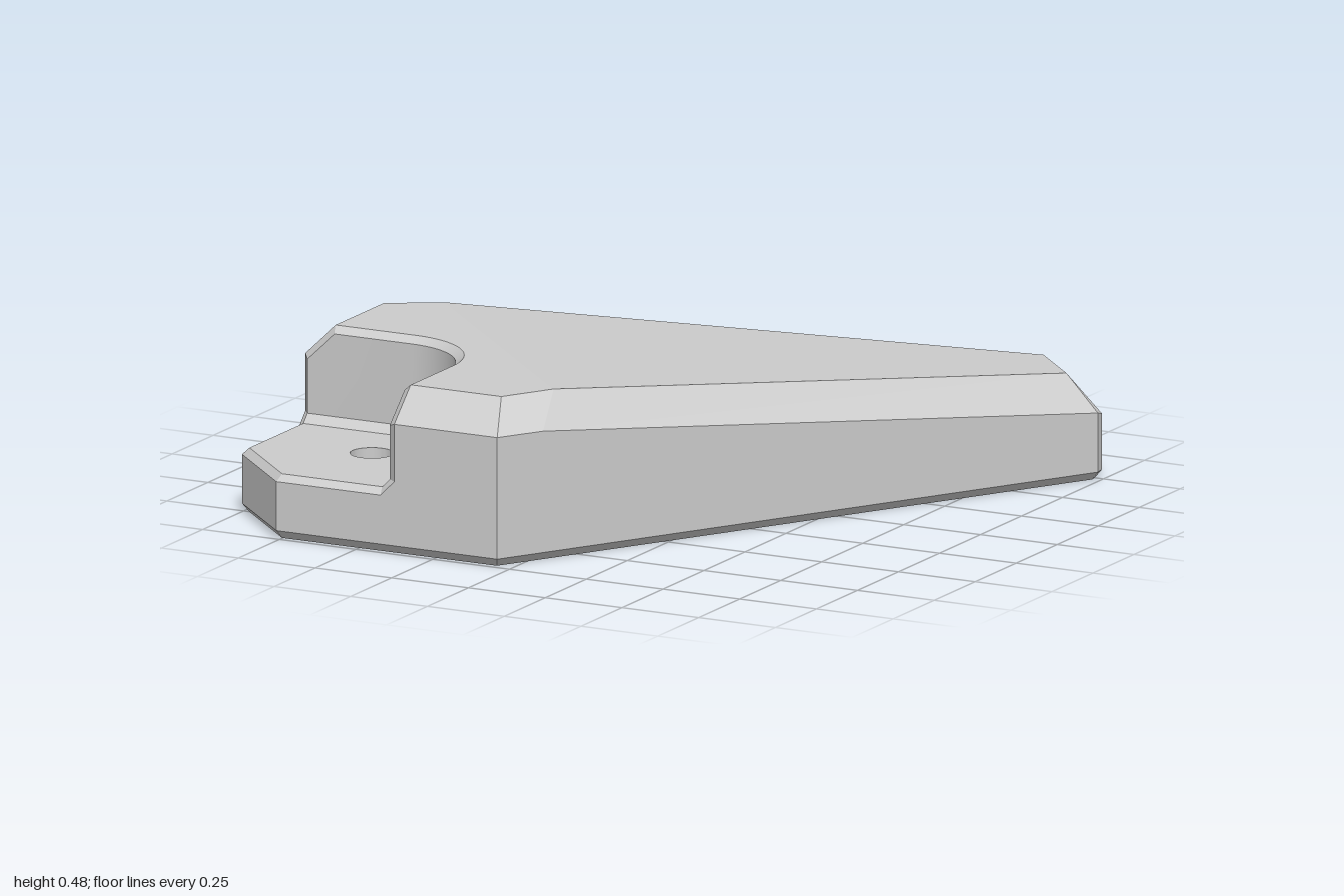
import * as THREE from 'three';
import { toCreasedNormals } from 'three/addons/utils/BufferGeometryUtils.js';

const V = (x, y, z) => new THREE.Vector3(x, y, z);
// The part is symmetric about the diagonal x = -z
const flip = p => V(-p.z, p.y, -p.x);
const at = (p, y) => V(p.x, y, p.z);

// Collects planar polygons (with holes) facing away from a centre, or towards it
class Faces {
  constructor(centre, sign = 1) {
    this.centre = centre;
    this.sign = sign;
    this.data = [];
  }
  add(pts, holes = []) {
    const n = V(0, 0, 0), mid = V(0, 0, 0);
    pts.forEach((p, i) => {
      n.add(p.clone().cross(pts[(i + 1) % pts.length]));
      mid.addScaledVector(p, 1 / pts.length);
    });
    n.normalize();
    if (n.dot(mid.sub(this.centre)) * this.sign < 0) n.negate();
    const u = (Math.abs(n.y) > 0.7 ? V(1, 0, 0) : V(0, 1, 0)).cross(n).normalize();
    const w = n.clone().cross(u);
    const flat = list => list.map(p => new THREE.Vector2(p.dot(u), p.dot(w)));
    const all = [...pts, ...holes.flat()];
    for (const t of THREE.ShapeUtils.triangulateShape(flat(pts), holes.map(flat))) {
      let [a, b, c] = t.map(i => all[i]);
      if (b.clone().sub(a).cross(c.clone().sub(a)).dot(n) < 0) [b, c] = [c, b];
      for (const p of [a, b, c]) this.data.push(p.x, p.y, p.z);
    }
  }
  both(pts) {
    this.add(pts);
    this.add(pts.map(flip));
  }
  strip(a, b, closed = false) {
    const n = a.length;
    for (let i = 0; i < (closed ? n : n - 1); i++) {
      const j = (i + 1) % n;
      this.add([a[i], a[j], b[j], b[i]]);
    }
  }
  mesh(name, material, crease) {
    let g = new THREE.BufferGeometry();
    g.setAttribute('position', new THREE.Float32BufferAttribute(this.data, 3));
    g.computeVertexNormals();
    if (crease) g = toCreasedNormals(g, crease);
    const m = new THREE.Mesh(g, material);
    m.name = name;
    return m;
  }
}

// Moves the sides of a convex outline inwards by d and sets its height
function inset(pts, d, y) {
  const c = V(0, 0, 0);
  pts.forEach(p => c.addScaledVector(p, 1 / pts.length));
  const sides = pts.map((p, i) => {
    const q = pts[(i + 1) % pts.length];
    const n = V(q.z - p.z, 0, p.x - q.x).normalize();
    if (n.x * (c.x - p.x) + n.z * (c.z - p.z) < 0) n.negate();
    return { n, k: n.x * p.x + n.z * p.z + d };
  });
  return sides.map((s, i) => {
    const r = sides[(i + sides.length - 1) % sides.length];
    const det = r.n.x * s.n.z - r.n.z * s.n.x;
    return V((r.k * s.n.z - s.k * r.n.z) / det, y, (r.n.x * s.k - s.n.x * r.k) / det);
  });
}

// s runs along the diagonal towards the tip, u across it
const diag = (s, u, y) => V((s - u) * Math.SQRT1_2, y, (-s - u) * Math.SQRT1_2);
const circle = (r, y, n) => Array.from({ length: n }, (_, i) => {
  const t = i / n * Math.PI * 2;
  return V(-0.64 + r * Math.sin(t), y, 0.64 + r * Math.cos(t));
});

// Path of the notch wall: straight, quarter round, straight
function notchPath(r, y, endX) {
  const start = V(endX, y, 0.64 - r), path = [start];
  for (let i = 0; i <= 16; i++) {
    const t = i / 16 * Math.PI / 2;
    path.push(V(-0.64 + r * Math.sin(t), y, 0.64 - r * Math.cos(t)));
  }
  return [...path, flip(start)];
}

export function createModel() {
  const group = new THREE.Group();
  const material = new THREE.MeshStandardMaterial({ color: 0xcccccc });
  const centre = V(0, 0.1, 0);
  const low = 0.025, ledge = 0.17;

  // Key points on one half, outer outline first
  const F = V(-1, low, 0.76), A = V(-1, low, 0.04), B = V(0.725, low, -0.995), C = V(0.76, low, -0.99);
  const At = at(A, 0.385), Kt = V(-0.87, 0.385, -0.04), Bt = at(B, 0.2), Ct = at(C, 0.19);
  const Ai = V(-0.9, 0.48, 0.08), Ki = V(-0.75, 0.48, -0.01), Bi = V(0.73, 0.305, -0.89);
  const half = [F, A, B, C];
  const outline = [...half, ...half.map(flip).reverse()];
  const bottom = inset(outline, 0.02, 0);

  // Edge of the ledge and notch on the outer side, and its bevelled inner edge
  const rim = [at(F, ledge), V(-1, ledge, 0.42), V(-1, 0.215, 0.375), V(-1, 0.385, 0.375), V(-0.9, 0.48, 0.375)];
  const rimIn = [V(-0.98, 0.19, 0.752), V(-0.98, 0.19, 0.425), V(-0.98, 0.215, 0.4),
    V(-0.98, 0.375, 0.4), V(-0.89, 0.46, 0.4)];
  const layers = [notchPath(0.215, 0.19, -0.98), notchPath(0.24, 0.215, -0.98),
    notchPath(0.24, 0.46, -0.89), notchPath(0.265, 0.48, -0.9)];

  // Underside openings
  const cavityHalf = [[0.836, 0.085], [-0.414, 0.41], [-0.556, 0.34]];
  const mouth = [...cavityHalf.map(([s, u]) => diag(s, u, 0)),
    ...cavityHalf.map(([s, u]) => diag(s, -u, 0)).reverse()];
  const hex = Array.from({ length: 6 }, (_, i) =>
    diag(-0.905 + 0.11 * Math.sin(i * Math.PI / 3), 0.11 * Math.cos(i * Math.PI / 3), 0));

  // Body shell
  const body = new Faces(centre);
  body.both([F, A, At, rim[3], rim[2], rim[1], rim[0]]);
  body.both([A, B, Bt, Kt, At]);
  body.both([B, C, Ct, Bt]);
  body.both([At, rim[3], rim[4], Ai]);
  body.both([At, Kt, Ki, Ai]);
  body.both([Kt, Bt, Bi, Ki]);
  body.both([Bt, Ct, Bi]);
  body.add([C, flip(C), flip(Ct), Ct]);
  body.add([Ct, flip(Ct), flip(Bi), Bi]);
  body.add([F, flip(F), flip(rim[0]), rim[0]]);
  body.add([Ki, Bi, flip(Bi), flip(Ki)]);
  body.add([Ai, Ki, flip(Ki), flip(Ai), ...layers[3].slice().reverse()]);
  body.strip(outline, bottom, true);
  body.add(bottom, [mouth, hex]);
  group.add(body.mesh('body', material));

  // Rounded corner notch with its ledge
  const notch = new Faces(centre);
  for (let i = 0; i < 3; i++) notch.strip(layers[i], layers[i + 1]);
  notch.both([rimIn[2], rimIn[3], rimIn[4]]);
  notch.strip(rim, rimIn);
  notch.strip(rim.map(flip), rimIn.map(flip));
  notch.add([rim[0], flip(rim[0]), flip(rimIn[0]), rimIn[0]]);
  notch.add([...layers[0], flip(rimIn[0]), rimIn[0]], [circle(0.063, 0.19, 48)]);
  group.add(notch.mesh('cornerNotch', material, 0.3));

  // Bolt hole through the ledge, with a hexagonal recess below
  const recess = new Faces(V(-0.64, 0.04, 0.64), -1);
  const hexTop = hex.map(p => at(p, 0.09));
  recess.strip(hex, hexTop, true);
  recess.add(hexTop, [circle(0.063, 0.09, 48)]);
  group.add(recess.mesh('nutRecess', material));
  const bore = new Faces(V(-0.64, 0.14, 0.64), -1);
  bore.strip(circle(0.063, 0.09, 48), circle(0.063, 0.19, 48), true);
  group.add(bore.mesh('boltHole', material, 0.3));

  // Hollow under the arm
  const cavity = new Faces(diag(0, 0, 0.1), -1);
  const neck = inset(mouth, 0.02, 0.02), roof = neck.map(p => at(p, 0.2));
  cavity.strip(mouth, neck, true);
  cavity.strip(neck, roof, true);
  cavity.add(roof);
  group.add(cavity.mesh('undersideCavity', material));

  return group;
}
